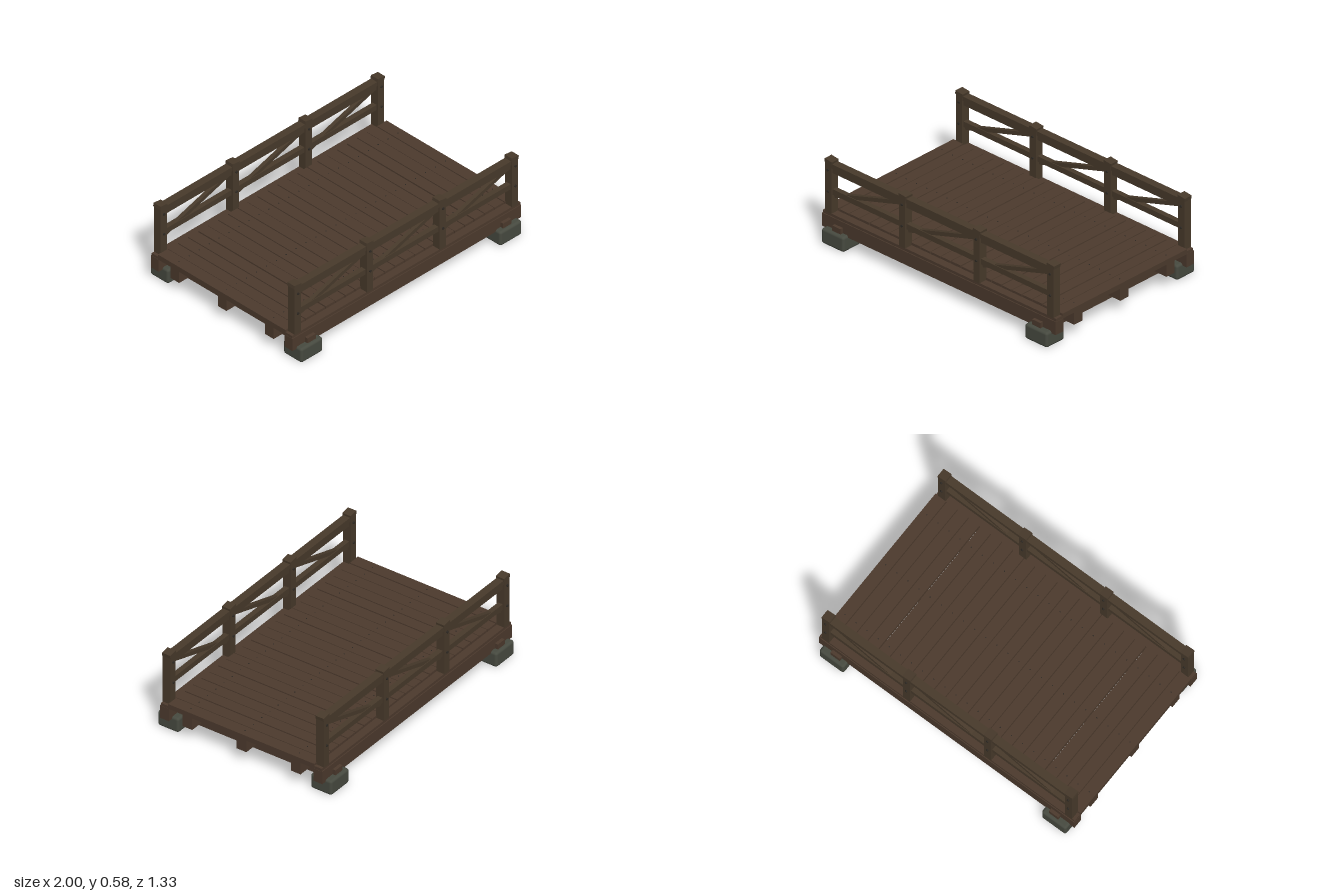
import * as THREE from 'three';
import { RoundedBoxGeometry } from 'three/addons/geometries/RoundedBoxGeometry.js';

const material = (name, color) => {
  const m = new THREE.MeshStandardMaterial({ color });
  m.name = name;
  return m;
};

export function createModel() {
  const model = new THREE.Group();
  model.name = 'footbridge';
  const deckWood = material('deck wood', 0x4c3a2d);
  const railWood = material('rail wood', 0x483a2b);
  const stone = material('stone', 0x474a40);
  const iron = material('iron', 0x2f2a24);

  const add = (parent, name, geometry, mat, x, y, z) => {
    const mesh = new THREE.Mesh(geometry, mat);
    mesh.name = name;
    mesh.position.set(x, y, z);
    parent.add(mesh);
    return mesh;
  };
  // Box given by its lower and upper limits on each axis
  const box = (parent, name, mat, x0, x1, y0, y1, z0, z1) =>
    add(parent, name, new THREE.BoxGeometry(x1 - x0, y1 - y0, z1 - z0), mat,
      (x0 + x1) / 2, (y0 + y1) / 2, (z0 + z1) / 2);

  // Deck planks with nails over the stringers
  const deck = new THREE.Group();
  deck.name = 'deck';
  model.add(deck);
  const count = 23, pitch = 2 / count;
  const nail = new THREE.CylinderGeometry(0.004, 0.004, 0.004, 6);
  for (let i = 0; i < count; i++) {
    const x = -1 + pitch * (i + 0.5);
    const left = i === 4 ? 0.006 : i === 0 ? 0 : 0.003;
    const right = i === 18 ? 0.006 : i === count - 1 ? 0 : 0.003;
    const drop = (i * 7 % 4) * 0.001;
    box(deck, 'plank', deckWood, x - pitch / 2 + left, x + pitch / 2 - right,
      0.185, 0.222 - drop, -0.56, 0.56);
    for (const z of [-0.415, 0, 0.415]) add(deck, 'nail', nail, iron, x, 0.222 - drop, z);
  }

  // Stringers along the span
  for (const z of [-0.415, 0, 0.415])
    box(model, 'stringer', deckWood, -0.995, 0.995, 0.095, 0.186, z - 0.037, z + 0.037);

  // Cross beams resting on footing stones
  for (const sx of [-1, 1]) {
    const x = sx * 0.855;
    box(model, 'crossBeam', deckWood, x - 0.036, x + 0.036, 0.065, 0.145, -0.645, 0.645);
    for (const sz of [-1, 1])
      add(model, 'footingStone', new RoundedBoxGeometry(0.192, 0.108, 0.162, 2, 0.018),
        stone, sx * 0.87, 0.054, sz * 0.586);
  }

  // One side: edge beam, posts, rails and diagonal braces
  const postXs = [-0.95, -0.318, 0.318, 0.95];
  const boltGeometry = new THREE.CylinderGeometry(0.008, 0.008, 0.076, 8);
  for (const s of [-1, 1]) {
    const side = new THREE.Group();
    side.name = s > 0 ? 'frontRailing' : 'backRailing';
    model.add(side);
    const z = s * 0.588;
    box(side, 'edgeBeam', deckWood, -1, 1, 0.092, 0.185, z - 0.034, z + 0.034);
    box(side, 'sill', deckWood, -0.998, 0.998, 0.185, 0.204, z - 0.028, z + 0.028);
    box(side, 'handrail', railWood, -0.97, 0.97, 0.525, 0.556, z - 0.027, z + 0.027);
    box(side, 'upperRail', railWood, -0.95, 0.95, 0.489, 0.525, z - 0.018, z + 0.018);
    box(side, 'lowerRail', railWood, -0.95, 0.95, 0.335, 0.374, z - 0.018, z + 0.018);

    postXs.forEach((x, i) => {
      box(side, 'post', railWood, x - 0.027, x + 0.027, 0.2, 0.555, z - 0.03, z + 0.03);
      const cap = add(side, 'postCap', new THREE.BoxGeometry(0.062, 0.024, 0.062),
        railWood, x, 0.563, z);
      cap.rotation.z = -0.12;
      for (const y of [0.355, 0.507])
        add(side, 'bolt', boltGeometry, iron, x, y, z).rotation.x = Math.PI / 2;

      // Brace rising towards the next post
      if (i < postXs.length - 1) {
        const x0 = x + 0.035, x1 = postXs[i + 1] - 0.025, y0 = 0.329, y1 = 0.503;
        const brace = add(side, 'brace',
          new THREE.BoxGeometry(Math.hypot(x1 - x0, y1 - y0), 0.027, 0.026),
          railWood, (x0 + x1) / 2, (y0 + y1) / 2, z);
        brace.rotation.z = Math.atan2(y1 - y0, x1 - x0);
      }
    });
  }
  return model;
}
